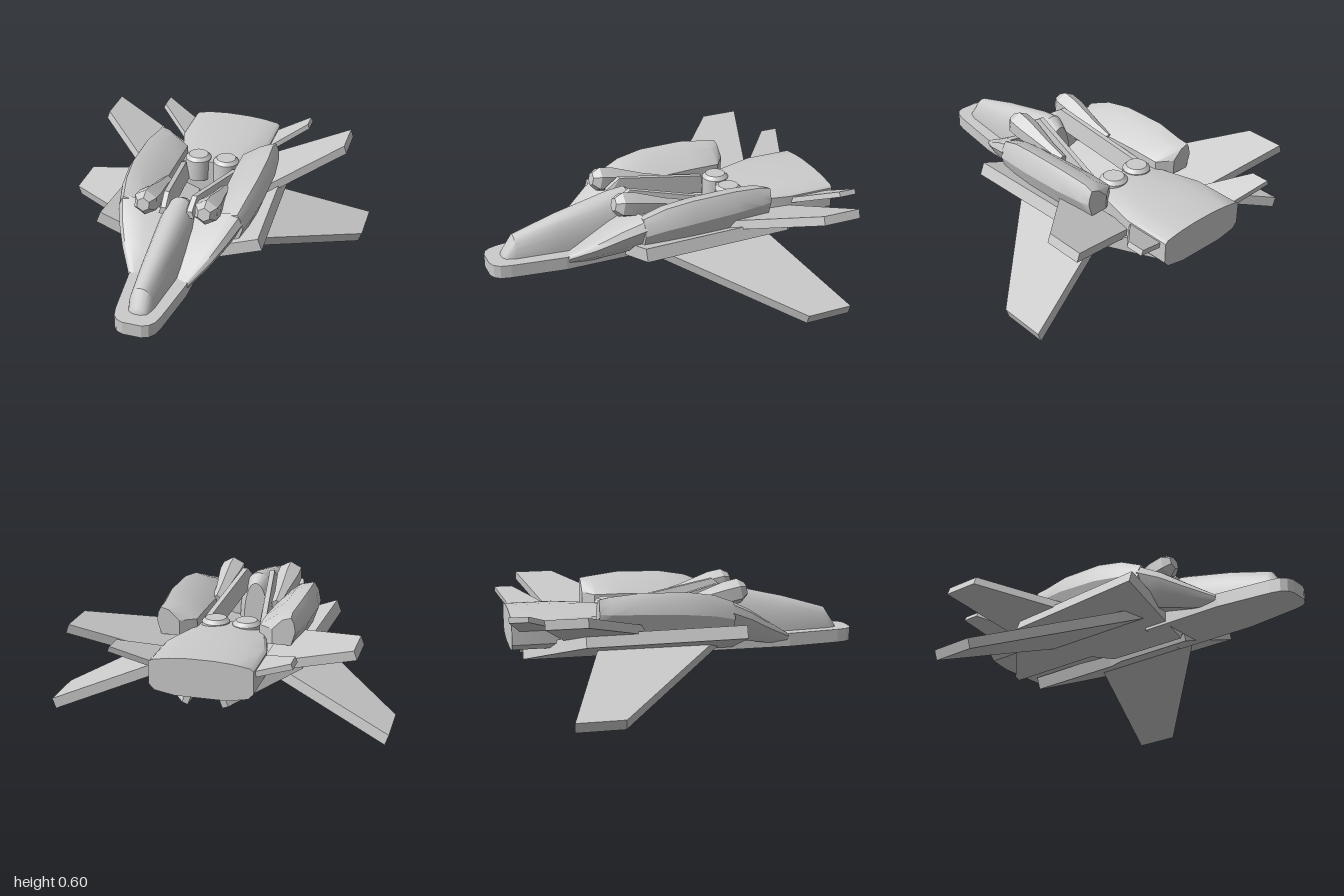
import * as THREE from 'three';
import { toCreasedNormals } from 'three/addons/utils/BufferGeometryUtils.js';

const material = new THREE.MeshStandardMaterial({ color: 0xcccccc });

// Skin rings of [x, y], counter-clockwise seen from the front, ordered front to back
function loft(sections, crease = 0.6) {
  const pos = [], idx = [], n = sections[0].ring.length;
  for (const { z, ring } of sections) for (const [x, y] of ring) pos.push(x, y, z);
  for (let i = 0; i < sections.length - 1; i++) {
    for (let j = 0; j < n; j++) {
      const a = i * n + j, b = i * n + (j + 1) % n;
      idx.push(a, a + n, b, b, a + n, b + n);
    }
  }
  // End caps
  for (const [s, front] of [[0, true], [sections.length - 1, false]]) {
    const { z, ring } = sections[s], c = pos.length / 3;
    pos.push(ring.reduce((t, p) => t + p[0], 0) / n, ring.reduce((t, p) => t + p[1], 0) / n, z);
    for (let j = 0; j < n; j++) {
      const a = s * n + j, b = s * n + (j + 1) % n;
      if (front) idx.push(c, a, b); else idx.push(c, b, a);
    }
  }
  const g = new THREE.BufferGeometry();
  g.setAttribute('position', new THREE.Float32BufferAttribute(pos, 3));
  g.setIndex(idx);
  return toCreasedNormals(g, crease);
}

// Flat panel from a plan outline of [x, z]; its underside passes through (x0, y0) at the given slope
function slab(outline, thickness, x0 = 0, y0 = 0, angle = 0) {
  const shape = new THREE.Shape(outline.map(([x, z]) => new THREE.Vector2((x - x0) / Math.cos(angle), -z)));
  return new THREE.ExtrudeGeometry(shape, { depth: thickness, bevelEnabled: false })
    .rotateX(-Math.PI / 2).rotateZ(angle).translate(x0, y0, 0);
}

// Mirrored copy with the corner order put right
function mirror(geometry) {
  const g = geometry.clone();
  for (const name of ['position', 'normal']) {
    const a = g.attributes[name];
    for (let i = 0; i < a.count; i += 3) {
      const v = [0, 2, 1].map(k => [-a.getX(i + k), a.getY(i + k), a.getZ(i + k)]);
      v.forEach((p, k) => a.setXYZ(i + k, ...p));
    }
  }
  return g;
}

export function createModel() {
  const model = new THREE.Group();
  model.name = 'spacecraft';
  const add = (name, geometry) => {
    const mesh = new THREE.Mesh(geometry, material);
    mesh.name = name;
    model.add(mesh);
  };
  const addPair = (name, geometry) => {
    add(name + 'Left', geometry);
    add(name + 'Right', mirror(geometry));
  };
  const rad = THREE.MathUtils.degToRad;

  // Nose plate with rounded tip
  const half = [[0.16, 0.12], [0.16, 0.6], [0.122, 0.9], [0.108, 0.955], [0.085, 0.985], [0.05, 1]];
  add('nosePlate', slab([...half, ...half.map(([x, z]) => [-x, z]).reverse()], 0.075, 0, 0.197));

  // Arched canopy: z, half width, top
  const arch = (hw, top, base = 0.25) => Array.from({ length: 17 }, (_, i) => {
    const a = Math.PI * i / 16;
    return [hw * Math.sign(Math.cos(a)) * Math.abs(Math.cos(a)) ** 0.9, base + (top - base) * Math.sin(a) ** 0.9];
  });
  add('canopy', loft([
    [0.92, 0.03, 0.275], [0.905, 0.052, 0.3], [0.85, 0.068, 0.385], [0.6, 0.092, 0.46],
    [0.3, 0.116, 0.53], [0.2, 0.11, 0.543], [0.13, 0.07, 0.5],
  ].map(([z, hw, top]) => ({ z, ring: arch(hw, top) }))));

  // Front cheeks: z, inner x, outer x, bottom, top
  addPair('cheek', loft([
    [0.59, 0.1, 0.165, 0.215, 0.27], [0.45, 0.05, 0.25, 0.23, 0.36],
    [0.33, 0.05, 0.31, 0.255, 0.44], [0.21, 0.05, 0.355, 0.28, 0.5],
  ].map(([z, xi, xo, yb, yt]) => {
    const w = xo - xi, h = yt - yb;
    return { z, ring: [
      [xi, yb], [xi + 0.6 * w, yb], [xi + 0.87 * w, yb + 0.35 * h], [xo, yb + 0.75 * h],
      [xo - 0.07 * w, yb + 0.95 * h], [xo - 0.25 * w, yt], [xi + 0.4 * w, yt - 0.1 * h], [xi, yt - 0.25 * h],
    ] };
  }), 0.7));

  // Side pods, highest near the outer edge
  addPair('sidePod', loft([
    [0.22, 0.18, 0.355, 0.32, 0.5], [0.1, 0.17, 0.385, 0.33, 0.548], [-0.05, 0.175, 0.402, 0.34, 0.572],
    [-0.3, 0.17, 0.402, 0.36, 0.577], [-0.46, 0.17, 0.383, 0.38, 0.56], [-0.52, 0.25, 0.372, 0.4, 0.55],
  ].map(([z, xi, xo, yb, yt]) => {
    const w = xo - xi, h = yt - yb;
    return { z, ring: [
      [xi, yb], [xo - 0.18 * w, yb], [xo, yb + 0.5 * h], [xo - 0.06 * w, yb + 0.8 * h],
      [xo - 0.18 * w, yt], [xi + 0.45 * w, yt - 0.09 * h], [xi, yt - 0.45 * h],
    ] };
  }), 0.5));

  // Rear fuselage, a flattened oval
  const upper = [[1, 0.065], [0.94, 0.08], [0.6, 0.095], [0.25, 0.102]];
  const topEdge = [...upper, ...upper.map(([x, y]) => [-x, y]).reverse()];
  const oval = [...topEdge, [-1, -0.05], [-0.9, -0.08], [-0.5, -0.1], [0.5, -0.1], [0.9, -0.08], [1, -0.05]];
  add('rearFuselage', loft([[-0.37, 0.19, 0.345], [-0.48, 0.21, 0.35], [-0.7, 0.268, 0.36], [-0.97, 0.268, 0.36]]
    .map(([z, hw, cy]) => ({ z, ring: oval.map(([x, y]) => [x * hw, cy + y]) }))));

  // Tilted belly plates with a notch between them
  addPair('bellyPlate', slab([
    [0.022, 0.26], [0.475, 0.26], [0.445, -0.3], [0.43, -0.6], [0.12, -0.9], [0.09, -0.9], [0.09, -0.33], [0.025, -0.21],
  ], 0.072, 0.022, 0.16, rad(20.5)));

  // Wings and tail fins
  addPair('lowerWing', slab([[0.19, 0.19], [0.882, -0.48], [0.882, -0.735], [0.19, -0.49]], 0.058, 0.882, 0.002, rad(-19.5)));
  addPair('upperWing', slab([[0.25, -0.16], [0.747, -0.635], [0.747, -0.85], [0.25, -0.685]], 0.05, 0.747, 0.488, rad(19.5)));
  addPair('tailFin', slab([[0.23, -0.67], [0.468, -0.9], [0.468, -1], [0.23, -0.915]], 0.03, 0.468, 0.472, rad(24)));

  // Faceted six-sided cannons, pointing forward and slightly up
  const profile = [[0, -0.42], [0.03, -0.42], [0.04, -0.3], [0.07, -0.12], [0.07, -0.04], [0.038, 0], [0, 0]];
  const cannon = new THREE.LatheGeometry(profile.map(p => new THREE.Vector2(...p)), 6)
    .rotateX(Math.PI / 2).rotateX(-0.2).translate(0.17, 0.54, 0.33);
  addPair('cannon', toCreasedNormals(cannon, 0.2));

  // Sloping rails behind the canopy: z, centre x, bottom, top
  addPair('rail', loft([[0.28, 0.07, 0.47, 0.51], [0.2, 0.075, 0.46, 0.565], [-0.34, 0.152, 0.34, 0.44]]
    .map(([z, x, yb, yt]) => ({ z, ring: [[x - 0.03, yb], [x + 0.03, yb], [x + 0.018, yt], [x - 0.01, yt]] })), 0.3));

  // Round caps on the rear deck
  const cap = new THREE.LatheGeometry([[0.075, 0.33], [0.075, 0.455], [0.056, 0.475], [0, 0.475]]
    .map(p => new THREE.Vector2(...p)), 24).translate(0.084, 0, -0.4);
  addPair('deckCap', toCreasedNormals(cap, 0.5));

  return model;
}
